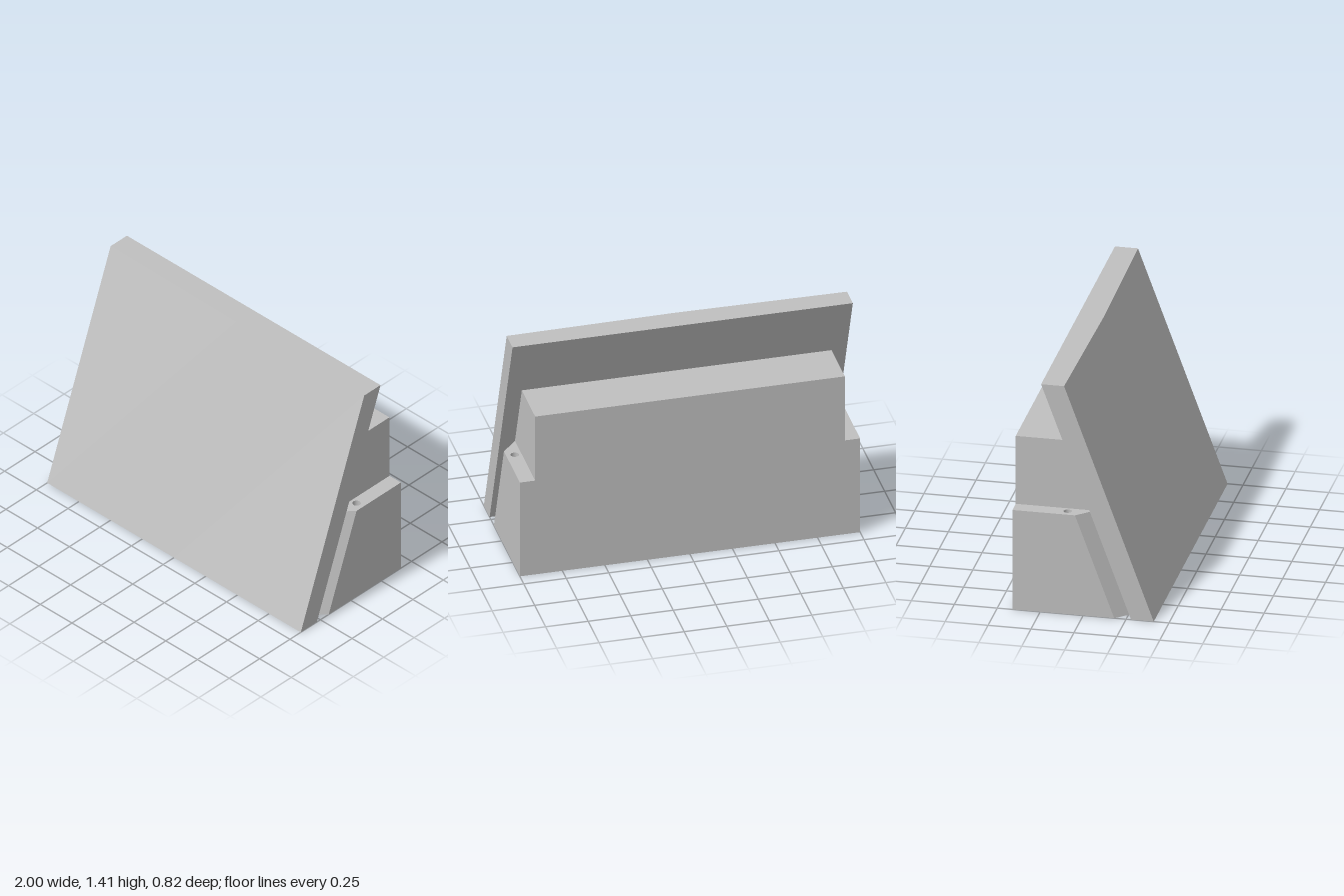
import * as THREE from 'three';

// Walls between two matching [x, z] outlines at heights y0 and y1, with optional flat caps.
// Outlines run counter-clockwise as seen from above.
function loft(lower, y0, upper, y1, capBottom, capTop) {
  const pos = [];
  const a = lower.map(([x, z]) => [x, y0, z]);
  const b = upper.map(([x, z]) => [x, y1, z]);
  const tri = (p, q, r) => pos.push(...p, ...q, ...r);
  const n = a.length;
  for (let i = 0; i < n; i++) {
    const j = (i + 1) % n;
    tri(a[i], a[j], b[j]);
    tri(a[i], b[j], b[i]);
  }
  for (let i = 1; i < n - 1; i++) {
    if (capBottom) tri(a[0], a[i + 1], a[i]);
    if (capTop) tri(b[0], b[i], b[i + 1]);
  }
  const geo = new THREE.BufferGeometry();
  geo.setAttribute('position', new THREE.Float32BufferAttribute(pos, 3));
  geo.computeVertexNormals();
  return geo;
}

export function createModel() {
  const group = new THREE.Group();
  const grey = new THREE.MeshStandardMaterial({ color: 0xc0c0c0 });
  grey.name = 'lightGrey';
  const add = (name, geo) => {
    const mesh = new THREE.Mesh(geo, grey);
    mesh.name = name;
    group.add(mesh);
    return mesh;
  };

  const H = 1.415, SHELF = 0.618, TOP = 1.04, BACK = -0.412, INNER = 0.91;
  const slope = (0.279 + 0.245) / H;
  const lean = (z, y) => z - slope * y; // z of a leaning face at height y

  // Leaning front panel, its face slightly crowned towards the top
  const panel = (back, edge, mid) => [[-1, back], [-1, edge], [0, mid], [1, edge], [1, back]];
  add('frontPanel', loft(
    panel(0.279, 0.411, 0.411), 0,
    panel(-0.245, -0.111, -0.097), H, true, true));

  // Wide lower housing with chamfered front corners
  const base = (y) => [
    [-1, BACK], [-1, lean(0.181, y)], [-INNER, lean(0.279, y)],
    [INNER, lean(0.279, y)], [1, lean(0.181, y)], [1, BACK],
  ];
  add('lowerHousing', loft(base(0), 0, base(SHELF), SHELF, true, false));

  // Narrower upper housing
  const tower = (y) => [
    [-INNER, BACK], [-INNER, lean(0.279, y)], [INNER, lean(0.279, y)], [INNER, BACK],
  ];
  add('upperHousing', loft(tower(SHELF), SHELF, tower(TOP), TOP, false, true));

  // Shelves at both ends, each with a blind round hole
  const holeR = 0.024, holeX = 0.95, holeZ = -0.1;
  for (const s of [-1, 1]) {
    const shelf = new THREE.Shape([
      [INNER, BACK], [1, BACK], [1, lean(0.181, SHELF)], [INNER, lean(0.279, SHELF)],
    ].map(([x, z]) => new THREE.Vector2(s * x, -z)));
    shelf.holes.push(new THREE.Path().absarc(s * holeX, -holeZ, holeR, 0, Math.PI * 2, true));
    const geo = new THREE.ShapeGeometry(shelf, 12);
    geo.rotateX(-Math.PI / 2);
    add(s > 0 ? 'leftShelf' : 'rightShelf', geo).position.y = SHELF;

    const well = new THREE.LatheGeometry(
      [[holeR, 0], [holeR, -0.1], [holeR, -0.1], [0, -0.1]].map(([r, y]) => new THREE.Vector2(r, y)), 24);
    add(s > 0 ? 'leftHole' : 'rightHole', well).position.set(s * holeX, SHELF, holeZ);
  }
  return group;
}
